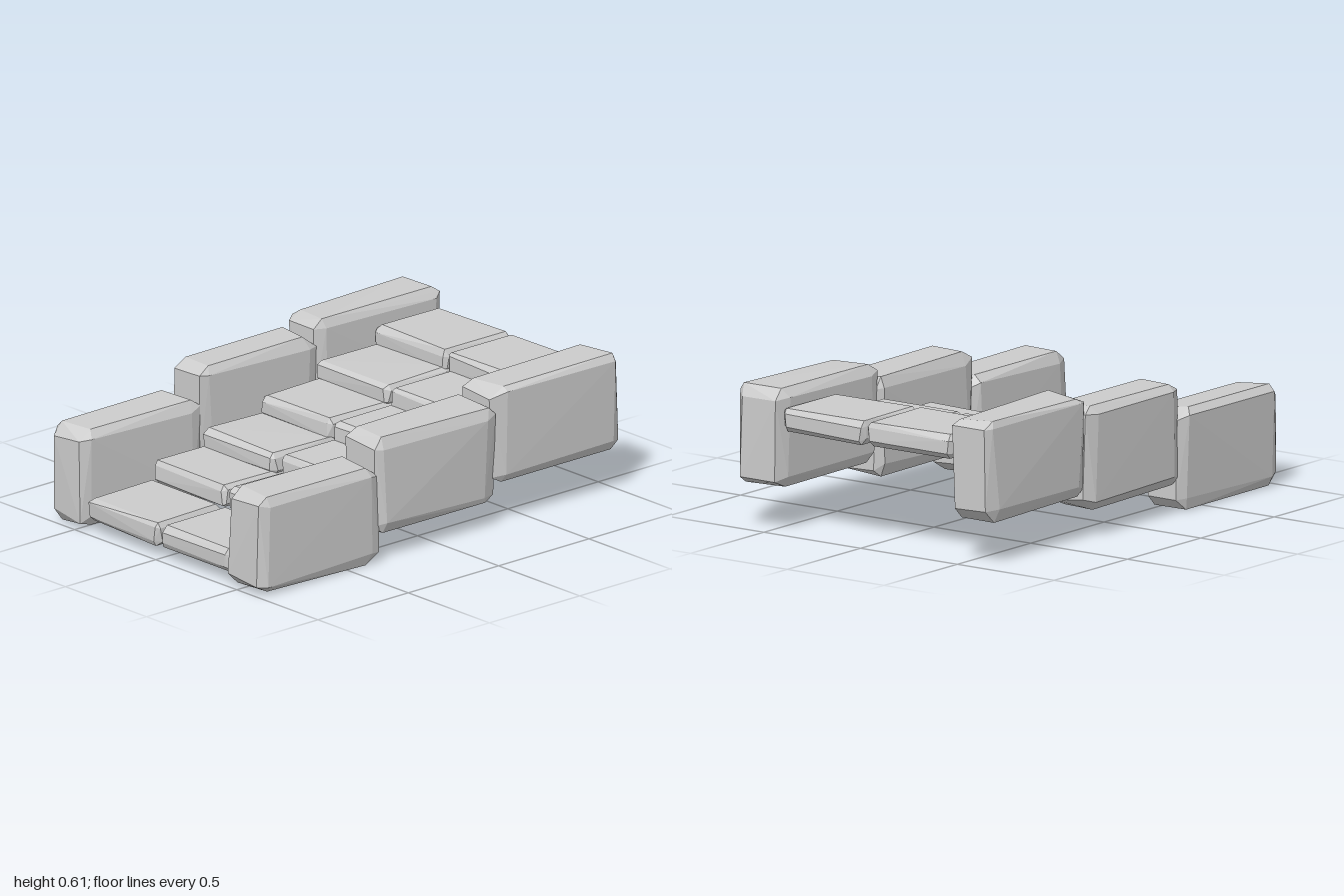
import * as THREE from 'three';
import { ConvexGeometry } from 'three/addons/geometries/ConvexGeometry.js';

const material = new THREE.MeshStandardMaterial({ color: 0xcccccc, flatShading: true });

// Seeded random numbers, so each stone is chipped the same way every time
let seed = 7;
function rand() {
  seed = (seed * 16807) % 2147483647;
  return seed / 2147483647;
}

// Rough-hewn stone: a box with unevenly bevelled edges and slightly uneven faces.
// Each range is [min, max]; bevel is the mean inset per axis.
function stone(name, xr, yr, zr, bevel, rough) {
  const ranges = [xr, yr, zr];
  const points = [];
  for (let corner = 0; corner < 8; corner++) {
    const high = [corner & 1, corner & 2, corner & 4];
    for (let face = 0; face < 3; face++) {
      const p = ranges.map(([lo, hi], axis) => {
        const inset = axis === face ? rand() * rough : bevel[axis] * (0.65 + 0.7 * rand());
        return high[axis] ? hi - inset : lo + inset;
      });
      points.push(new THREE.Vector3(...p));
    }
  }
  const mesh = new THREE.Mesh(new ConvexGeometry(points), material);
  mesh.name = name;
  return mesh;
}

export function createModel() {
  seed = 7;
  const model = new THREE.Group();
  model.name = 'stoneStairs';

  // Side walls: three large blocks each, climbing towards +x
  const walls = [
    { name: 'frontWall', z: [0.42, 0.655], x: [[-1, -0.325], [-0.36, 0.32], [0.29, 1]], top: [0.43, 0.54, 0.61] },
    { name: 'backWall', z: [-0.66, -0.447], x: [[-1, -0.32], [-0.345, 0.32], [0.295, 1]], top: [0.435, 0.555, 0.615] },
  ];
  const wallBottoms = [0, 0.11, 0.18];
  for (const wall of walls) {
    const group = new THREE.Group();
    group.name = wall.name;
    wall.x.forEach((x, i) => {
      group.add(stone('wallBlock', x, [wallBottoms[i], wall.top[i]], wall.z, [0.06, 0.045, 0.03], 0.012));
    });
    model.add(group);
  }

  // Treads: two rows of six overlapping slabs
  const rows = [
    { name: 'frontTreads', z: [0.003, 0.43], x: [-0.99, -0.61, -0.32, -0.035, 0.28, 0.6] },
    { name: 'backTreads', z: [-0.448, -0.005], x: [-0.99, -0.62, -0.35, -0.03, 0.28, 0.6] },
  ];
  for (const row of rows) {
    const group = new THREE.Group();
    group.name = row.name;
    row.x.forEach((x, i) => {
      const y = 0.047 + i * 0.0755;
      group.add(stone('tread', [x, x + 0.378], [y, y + 0.108], row.z, [0.025, 0.025, 0.02], 0.008));
    });
    model.add(group);
  }
  return model;
}
